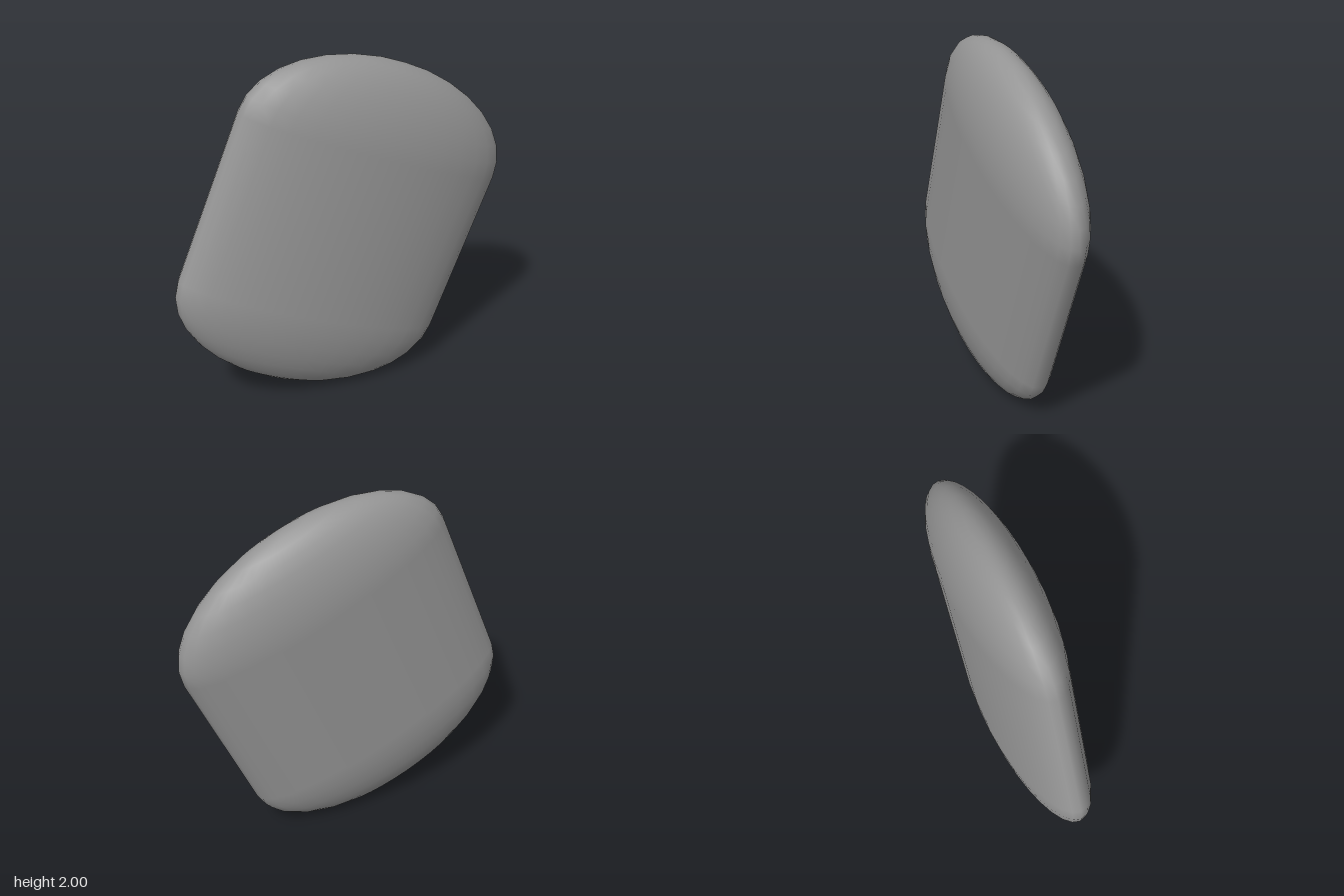
import * as THREE from 'three';

// One flattened capsule, leaning towards +x
export function createModel() {
  const group = new THREE.Group();
  group.name = 'flattenedCapsule';

  const material = new THREE.MeshStandardMaterial({ color: 0x949494 });
  const body = new THREE.Mesh(new THREE.CapsuleGeometry(1, 2, 8, 32), material);
  body.name = 'capsuleBody';
  body.scale.set(0.825, 0.488, 0.225); // wide, short caps, thin
  body.rotation.z = THREE.MathUtils.degToRad(-22.4);
  body.position.y = 1;
  group.add(body);

  return group;
}
